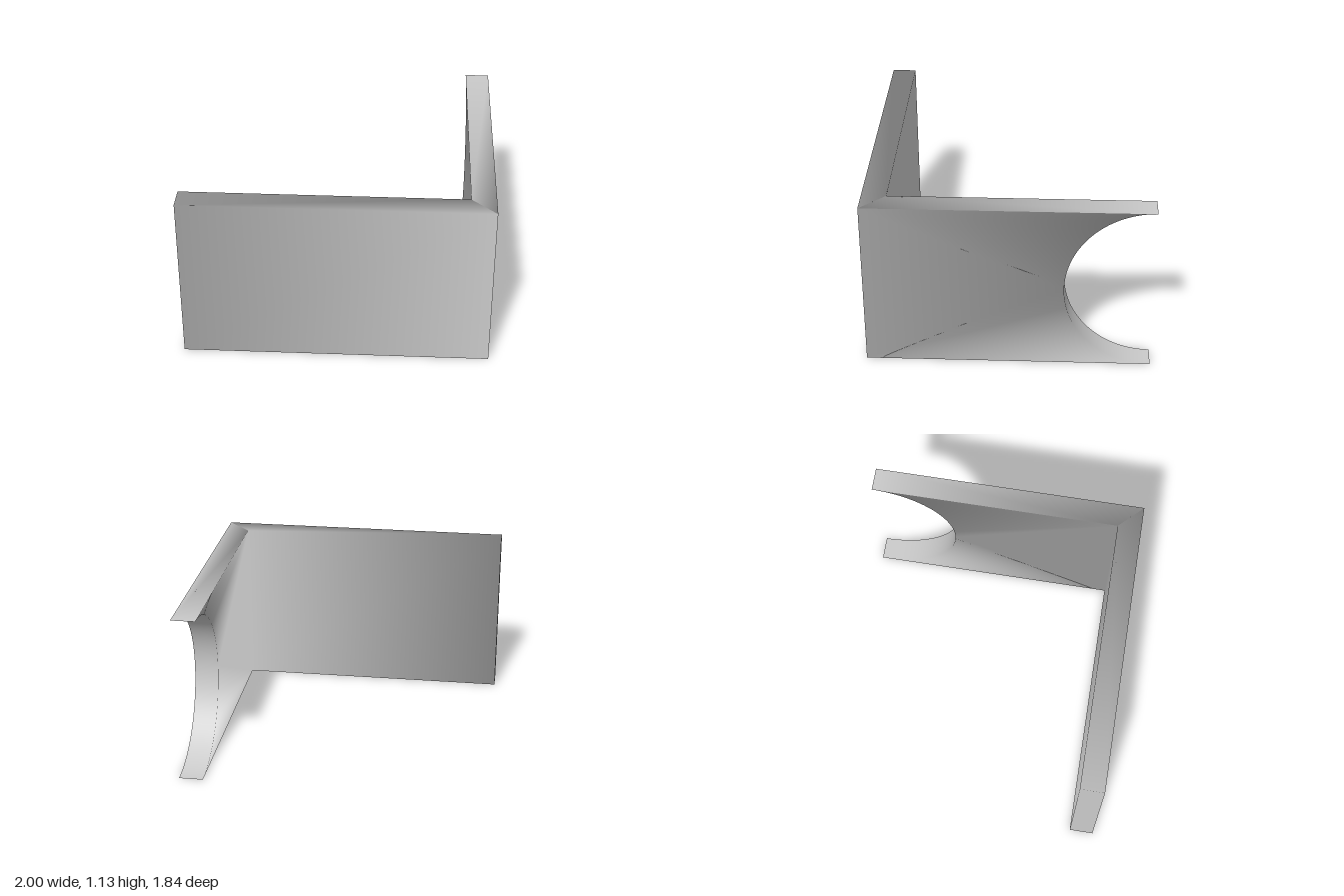
import * as THREE from 'three';

const HEIGHT = 1.13;
const THICK = 0.16;
const DEPTH = 0.92; // half of the full depth
const RADIUS = HEIGHT / 2;
const SEGMENTS = 64;

// A vertical edge: its bottom and top corner share one shading normal
const post = (x, z, normal) => [0, HEIGHT].map((y) => ({ position: [x, y, z], normal }));

// Half-circle edge from the bottom tip to the top tip, normals pointing at its centre
function scoopEdge(x) {
  return Array.from({ length: SEGMENTS + 1 }, (_, i) => {
    const angle = Math.PI * (i / SEGMENTS - 0.5);
    const c = Math.cos(angle), s = Math.sin(angle);
    return { position: [x, RADIUS + RADIUS * s, RADIUS * c - DEPTH], normal: [0, -s, -c] };
  });
}

const quad = (a, b, c, d) => [[a, b, c], [a, c, d]];
const flip = (triangles) => triangles.map(([a, b, c]) => [a, c, b]);
const wall = (p, q) => quad(p[0], q[0], q[1], p[1]);

// Top and bottom of a strip whose corners run counterclockwise seen from above
function caps(...posts) {
  const [bottom, top] = [0, 1].map((level) => quad(...posts.map((p) => p[level])));
  return [...flip(bottom), ...top];
}

// Upright face between a straight edge and the scoop: one big triangle and two fans
function scoopedFace(edge, arc) {
  const middle = SEGMENTS / 2;
  const triangles = [[edge[0], arc[middle], edge[1]]];
  for (let i = 0; i < SEGMENTS; i++) {
    triangles.push([edge[i < middle ? 0 : 1], arc[i], arc[i + 1]]);
  }
  return triangles;
}

function makeMesh(name, triangles, material) {
  const corners = triangles.flat();
  const geometry = new THREE.BufferGeometry();
  for (const key of ['position', 'normal']) {
    const values = corners.flatMap((corner) => corner[key]);
    geometry.setAttribute(key, new THREE.Float32BufferAttribute(values, 3));
  }
  const mesh = new THREE.Mesh(geometry, material);
  mesh.name = name;
  return mesh;
}

export function createModel() {
  const group = new THREE.Group();
  group.name = 'cornerBracket';
  const material = new THREE.MeshStandardMaterial({ color: 0xcccccc });

  // Edges of the L: free end, outer corner, inner corner and the scooped rear
  const endOuter = post(-1, DEPTH, [-1, 0, 0]);
  const endInner = post(-1, DEPTH - THICK, [-1, 0, 0]);
  const cornerOuter = post(1, DEPTH, [0, 0, 1]);
  const cornerInner = post(1 - THICK, DEPTH - THICK, [0, 0, -1]);
  const arcOuter = scoopEdge(1);
  const arcInner = scoopEdge(1 - THICK);
  const tips = (arc) => [arc[0], arc[SEGMENTS]];

  // Long wall across the front
  group.add(makeMesh('frontWall', [
    ...wall(endOuter, cornerOuter),
    ...wall(endInner, endOuter),
    ...wall(cornerInner, endInner),
    ...caps(endOuter, cornerOuter, cornerInner, endInner),
  ], material));

  // Side wall with its half-round rear cutout
  const scoop = [];
  for (let i = 0; i < SEGMENTS; i++) {
    scoop.push(...quad(arcOuter[i], arcInner[i], arcInner[i + 1], arcOuter[i + 1]));
  }
  group.add(makeMesh('scoopedSideWall', [
    ...scoopedFace(cornerOuter, arcOuter),
    ...flip(scoopedFace(cornerInner, arcInner)),
    ...scoop,
    ...caps(tips(arcOuter), tips(arcInner), cornerInner, cornerOuter),
  ], material));

  return group;
}
